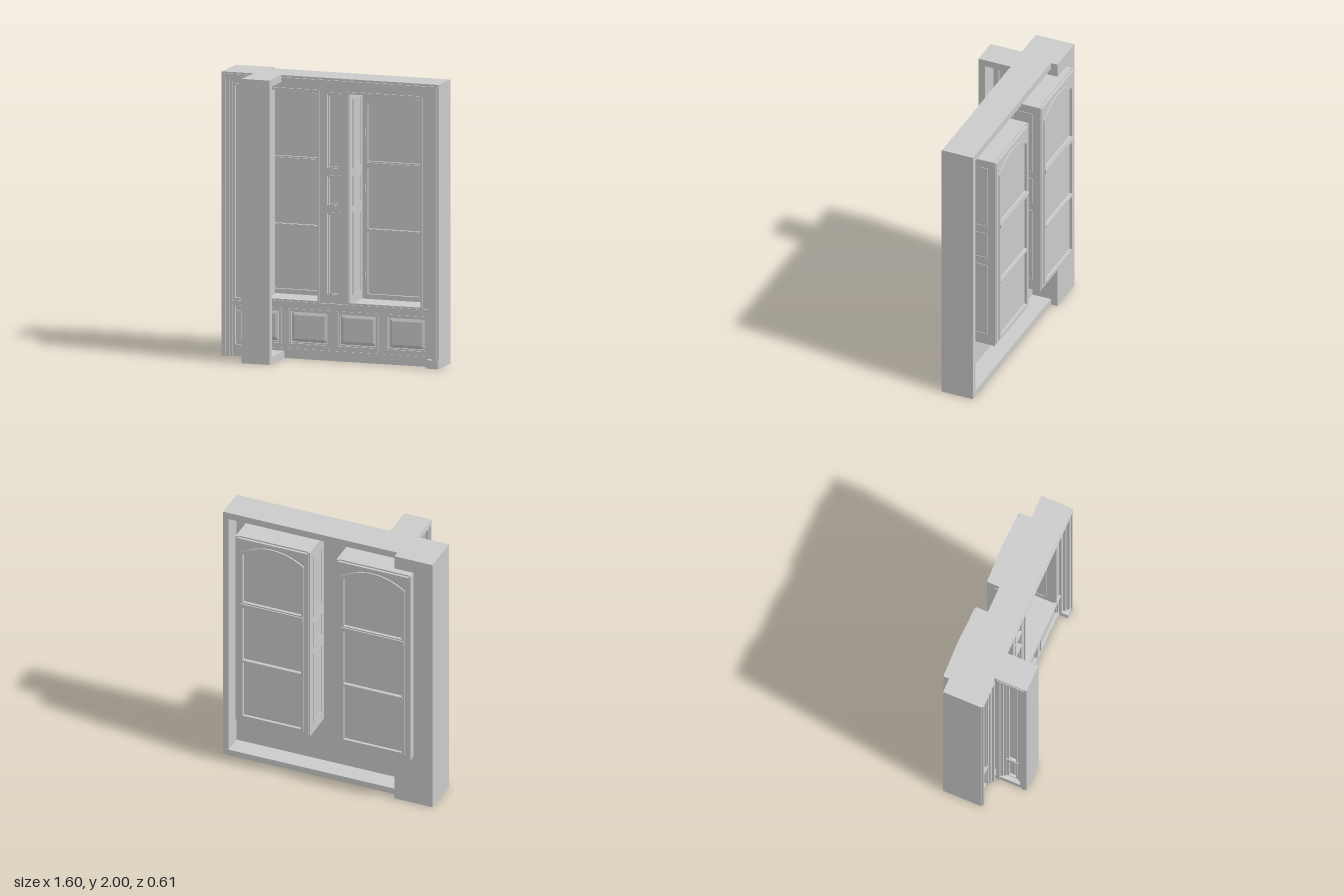
import * as THREE from 'three';

const material = new THREE.MeshStandardMaterial({ color: 0xcccccc, flatShading: true });

function add(parent, name, geometry, x = 0, y = 0, z = 0) {
  const mesh = new THREE.Mesh(geometry, material);
  mesh.name = name;
  mesh.position.set(x, y, z);
  parent.add(mesh);
  return mesh;
}

// Box given by its limits on each axis
function slab(parent, name, x0, x1, y0, y1, z0, z1) {
  return add(parent, name, new THREE.BoxGeometry(x1 - x0, y1 - y0, z1 - z0),
    (x0 + x1) / 2, (y0 + y1) / 2, (z0 + z1) / 2);
}

const polygon = (points, Type = THREE.Shape) => new Type(points.map(p => new THREE.Vector2(...p)));
const rect = (x0, x1, y0, y1, Type) => polygon([[x0, y0], [x1, y0], [x1, y1], [x0, y1]], Type);

// Flat board from z0 to z1 with holes cut through it
function board(parent, name, shape, holes, z0, z1) {
  shape.holes.push(...holes);
  return add(parent, name, new THREE.ExtrudeGeometry(shape,
    { depth: z1 - z0, bevelEnabled: false, curveSegments: 14 }), 0, 0, z0);
}

// Rectangular moulding, t wide, inside the given limits
function frame(parent, name, [x0, x1, y0, y1], t, z0, z1) {
  return board(parent, name, rect(x0, x1, y0, y1),
    [rect(x0 + t, x1 - t, y0 + t, y1 - t, THREE.Path)], z0, z1);
}

// Opening outline with a shallow arched head
function arched(Type, cx, hw, y0, spring, apex) {
  const s = new Type();
  s.moveTo(cx - hw, y0);
  s.lineTo(cx + hw, y0);
  s.lineTo(cx + hw, spring);
  s.quadraticCurveTo(cx, 2 * apex - spring, cx - hw, spring);
  s.closePath();
  return s;
}

// Recessed panel with stepped moulding and a bevelled raised field
function panel(parent, name, r, raised) {
  const [x0, x1, y0, y1] = r;
  const g = new THREE.Group();
  g.name = name;
  parent.add(g);
  slab(g, 'panelBack', x0, x1, y0, y1, -0.04, -0.03);
  frame(g, 'outerMoulding', [x0 - 0.006, x1 + 0.006, y0 - 0.006, y1 + 0.006], 0.012, -0.03, -0.004);
  frame(g, 'innerMoulding', r, 0.015, -0.03, -0.015);
  if (raised) {
    const m = 0.04;
    add(g, 'raisedField', new THREE.ExtrudeGeometry(rect(x0 + m, x1 - m, y0 + m, y1 - m),
      { depth: 0.002, bevelThickness: 0.008, bevelSize: 0.02, bevelSegments: 1 }), 0, 0, -0.026);
  }
}

// Window niche: reveals, seat, arched sash, panes and hinges
function windowNiche(cx, inner) {
  const g = new THREE.Group();
  g.name = 'windowNiche';
  const a = cx - 0.28, b = cx + 0.28;
  for (const [x, s] of [[a, 1], [b, -1]]) {
    slab(g, 'reveal', Math.min(x, x + s * 0.02), Math.max(x, x + s * 0.02), 0.4, 1.9, -0.285, -0.02);
    for (const [y0, y1] of [[0.46, 1.04], [1.09, 1.3], [1.35, 1.84]]) {
      const f = frame(g, 'revealMoulding', [-0.08, 0.08, y0, y1], 0.012, 0, 0.028);
      f.rotation.y = Math.PI / 2;
      f.position.set(x + s * 0.01 - 0.014, 0, -0.15);
    }
  }
  slab(g, 'nicheTop', a, b, 1.88, 1.9, -0.275, -0.02);
  slab(g, 'windowSeat', a, b, 0.385, 0.405, -0.285, -0.01);

  // Sash with three openings
  const hw = 0.22;
  const panes = T => [
    rect(cx - hw, cx + hw, 0.44, 0.88, T),
    rect(cx - hw, cx + hw, 0.9, 1.33, T),
    arched(T, cx, hw, 1.375, 1.77, 1.84),
  ];
  board(g, 'sash', rect(a + 0.01, b - 0.01, 0.4, 1.89), panes(THREE.Path), -0.292, -0.262);
  slab(g, 'glass', cx - 0.23, cx + 0.23, 0.43, 1.86, -0.282, -0.276);
  const trim = (z0, z1) => board(g, 'sashTrim', arched(THREE.Shape, cx, hw + 0.02, 0.42, 1.78, 1.86),
    panes(THREE.Path), z0, z1);
  trim(-0.302, -0.29);
  trim(-0.264, -0.255);
  slab(g, 'transom', cx - 0.235, cx + 0.235, 1.337, 1.365, -0.31, -0.245);
  slab(g, 'glazingBar', cx - 0.225, cx + 0.225, 0.882, 0.898, -0.306, -0.25);
  for (const y of [0.58, 1.18, 1.57])
    add(g, 'hinge', new THREE.CylinderGeometry(0.007, 0.007, 0.05, 8), cx + inner * 0.235, y, -0.25);
  return g;
}

// Narrow moulded face, w wide and 2 high, with its crest at local z = 0
function mouldedFace(name, w) {
  const g = new THREE.Group();
  g.name = name;
  const h = w / 2;
  const steps = [[0, 0.012, -0.01], [0.012, 0.03, 0], [0.03, 0.05, -0.018], [0.05, 0.068, -0.03]];
  for (const [i, o, z] of steps) {
    const x = h - i, n = h - o, t = 2 - i, u = 2 - o;
    board(g, 'casing', polygon([[-x, 0], [-n, 0], [-n, u], [n, u], [n, 0], [x, 0], [x, t], [-x, t]]), [], -0.055, z);
  }
  const k = h - 0.068;
  const holes = [[-0.034, 0.034, 0.4, 1.915], [-0.034, 0.034, 0.075, 0.355]];
  board(g, 'stiles', rect(-k, k, 0, 1.932), holes.map(r => rect(...r, THREE.Path)), -0.055, -0.04);
  for (const r of holes) frame(g, 'panelMoulding', r, 0.008, -0.055, -0.032);
  slab(g, 'lowerField', -0.016, 0.016, 0.11, 0.32, -0.055, -0.042);
  slab(g, 'dado', -k, k, 0.362, 0.39, -0.05, -0.03);
  return g;
}

export function createModel() {
  const model = new THREE.Group();
  model.name = 'panelledWall';

  // Outer shell, open at the back
  slab(model, 'topSlab', -0.8, 0.8, 1.95, 2, -0.18, 0.055);
  slab(model, 'bottomSlab', -0.8, 0.78, 0, 0.045, -0.18, -0.01);
  slab(model, 'sideWall', 0.76, 0.8, 0, 2, -0.18, 0.055);

  // Panelled front wall
  const lower = [-0.54, -0.18, 0.18, 0.54].map(x => [x - 0.15, x + 0.15, 0.1, 0.345]);
  const middle = [[0.46, 1.04], [1.09, 1.3], [1.35, 1.88]].map(([y0, y1]) => [-0.05, 0.05, y0, y1]);
  const openings = [[-0.645, -0.115, 0.4, 1.885], [0.115, 0.645, 0.4, 1.885]];
  board(model, 'frontWall', rect(-0.74, 0.77, 0, 1.96),
    [...lower, ...middle, ...openings].map(r => rect(...r, THREE.Path)), -0.04, -0.01);
  lower.forEach(r => panel(model, 'lowerPanel', r, true));
  middle.forEach(r => panel(model, 'mullionPanel', r, false));
  for (const r of openings)
    frame(model, 'openingBead', [r[0] - 0.015, r[1] + 0.015, 0.4, 1.9], 0.015, -0.01, 0);
  slab(model, 'seatNosing', -0.52, 0.72, 0.385, 0.403, -0.03, 0.006);
  slab(model, 'seatMoulding', -0.52, 0.72, 0.37, 0.385, -0.03, -0.002);
  slab(model, 'skirting', -0.52, 0.72, 0, 0.07, -0.03, -0.005);

  // Stepped casing across the top and down the left end
  for (const [i, o, z] of [[0, 0.015, 0.055], [0.015, 0.03, 0.065], [0.03, 0.05, 0.05], [0.05, 0.068, 0.03], [0.068, 0.09, 0.012]])
    board(model, 'casing', polygon([[0.8 - i, 0], [0.8 - i, 2 - i], [-0.52, 2 - i], [-0.52, 2 - o], [0.8 - o, 2 - o], [0.8 - o, 0]]), [], -0.02, z);
  slab(model, 'plinthBlock', 0.71, 0.795, 0, 0.06, -0.02, 0.06);

  // Windows
  model.add(windowNiche(-0.38, 1), windowNiche(0.38, -1));

  // Solid end pier with a moulded front
  slab(model, 'pier', -0.8, -0.515, 0, 2, -0.23, 0.018);
  const pierFace = mouldedFace('pierFace', 0.23);
  pierFace.position.set(-0.685, 0, 0.07);
  model.add(pierFace);

  // Projecting return wall, open on its inner side
  slab(model, 'returnEnd', -0.565, -0.36, 0, 2, 0.25, 0.3);
  slab(model, 'returnTop', -0.565, -0.36, 1.95, 2, 0, 0.26);
  slab(model, 'returnBottom', -0.565, -0.36, 0, 0.05, -0.01, 0.26);
  slab(model, 'returnBack', -0.522, -0.502, 0, 2, 0.01, 0.26);
  const returnFace = mouldedFace('returnFace', 0.23);
  returnFace.rotation.y = -Math.PI / 2;
  returnFace.position.set(-0.572, 0, 0.182);
  model.add(returnFace);
  const inside = new THREE.Group();
  inside.name = 'returnInside';
  inside.rotation.y = Math.PI / 2;
  inside.position.set(-0.502, 0, 0.17);
  frame(inside, 'upperMoulding', [-0.05, 0.05, 0.39, 1.93], 0.014, 0, 0.015);
  frame(inside, 'lowerMoulding', [-0.05, 0.05, 0.065, 0.36], 0.014, 0, 0.015);
  model.add(inside);

  return model;
}
